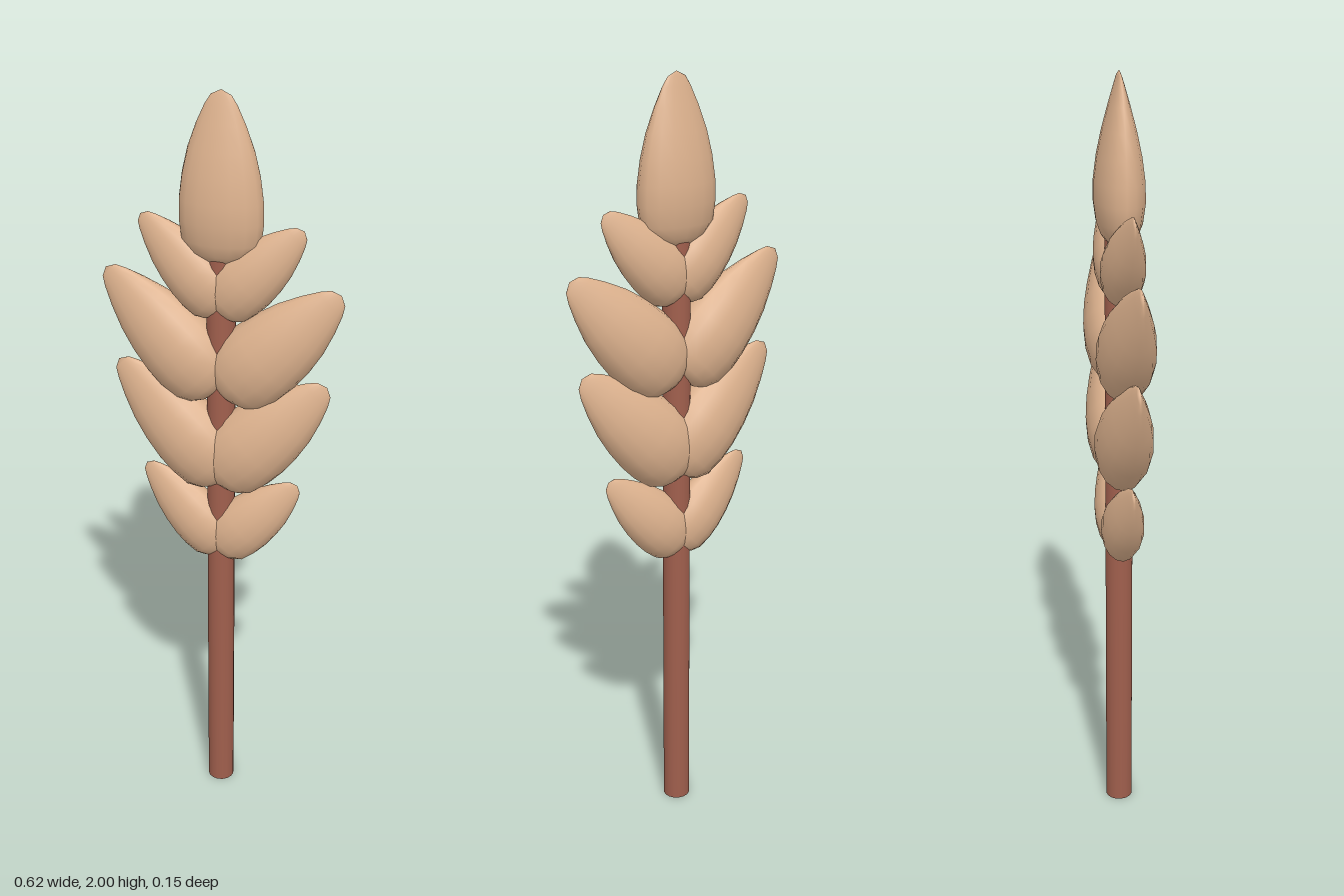
import * as THREE from 'three';
import { mergeVertices } from 'three/addons/utils/BufferGeometryUtils.js';

// Cross-sections of a kernel: height, half width, half depth
const SECTIONS = [
  [0, 0, 0], [0.012, 0.05, 0.032], [0.03, 0.08, 0.045], [0.06, 0.1, 0.056],
  [0.11, 0.106, 0.063], [0.16, 0.105, 0.062], [0.22, 0.097, 0.054], [0.28, 0.083, 0.041],
  [0.34, 0.061, 0.025], [0.385, 0.04, 0.012], [0.408, 0.025, 0.005], [0.42, 0, 0],
];

// Flattened egg: a lathe squeezed front to back, more so towards the tip
function kernelGeometry() {
  const lathe = new THREE.LatheGeometry(SECTIONS.map(([y, w]) => new THREE.Vector2(w, y)), 16);
  const pos = lathe.attributes.position;
  for (let i = 0; i < pos.count; i++) {
    const [, w, d] = SECTIONS[i % SECTIONS.length];
    if (w > 0) pos.setZ(i, pos.getZ(i) * d / w);
  }
  lathe.deleteAttribute('uv');
  lathe.deleteAttribute('normal');
  const geometry = mergeVertices(lathe, 1e-5);
  geometry.computeVertexNormals();
  return geometry;
}

export function createModel() {
  const group = new THREE.Group();
  const grain = new THREE.MeshStandardMaterial({ color: 0xdcb18d });
  grain.name = 'grain';
  const stalk = new THREE.MeshStandardMaterial({ color: 0xa05f4d });
  stalk.name = 'stalk';

  // Stem, with soft normals at its ends
  const profile = [[0, 0], [0.036, 0], [0.036, 1.62], [0, 1.62]];
  const stem = new THREE.Mesh(
    new THREE.LatheGeometry(profile.map(([r, y]) => new THREE.Vector2(r, y)), 16), stalk);
  stem.name = 'stem';
  group.add(stem);

  const geometry = kernelGeometry();

  // Top kernel
  const top = new THREE.Mesh(geometry, grain);
  top.name = 'topKernel';
  top.position.y = 1.58;
  group.add(top);

  // Pairs of leaning kernels: base x, base y, size, depth
  const pairs = [
    [-0.018, 0.776, 0.75, 0.87],
    [-0.024, 0.992, 1, 1.16],
    [0.003, 1.238, 1, 1.16],
    [-0.018, 1.461, 0.75, 0.87],
  ];
  pairs.forEach(([x, y, size, depth], row) => {
    for (const side of [1, -1]) {
      const kernel = new THREE.Mesh(geometry, grain);
      kernel.name = `${side > 0 ? 'left' : 'right'}Kernel${row + 1}`;
      kernel.position.set(side * x, y, 0);
      kernel.rotation.z = -side * Math.PI / 4;
      kernel.scale.set(size, size, depth);
      group.add(kernel);
    }
  });
  return group;
}
